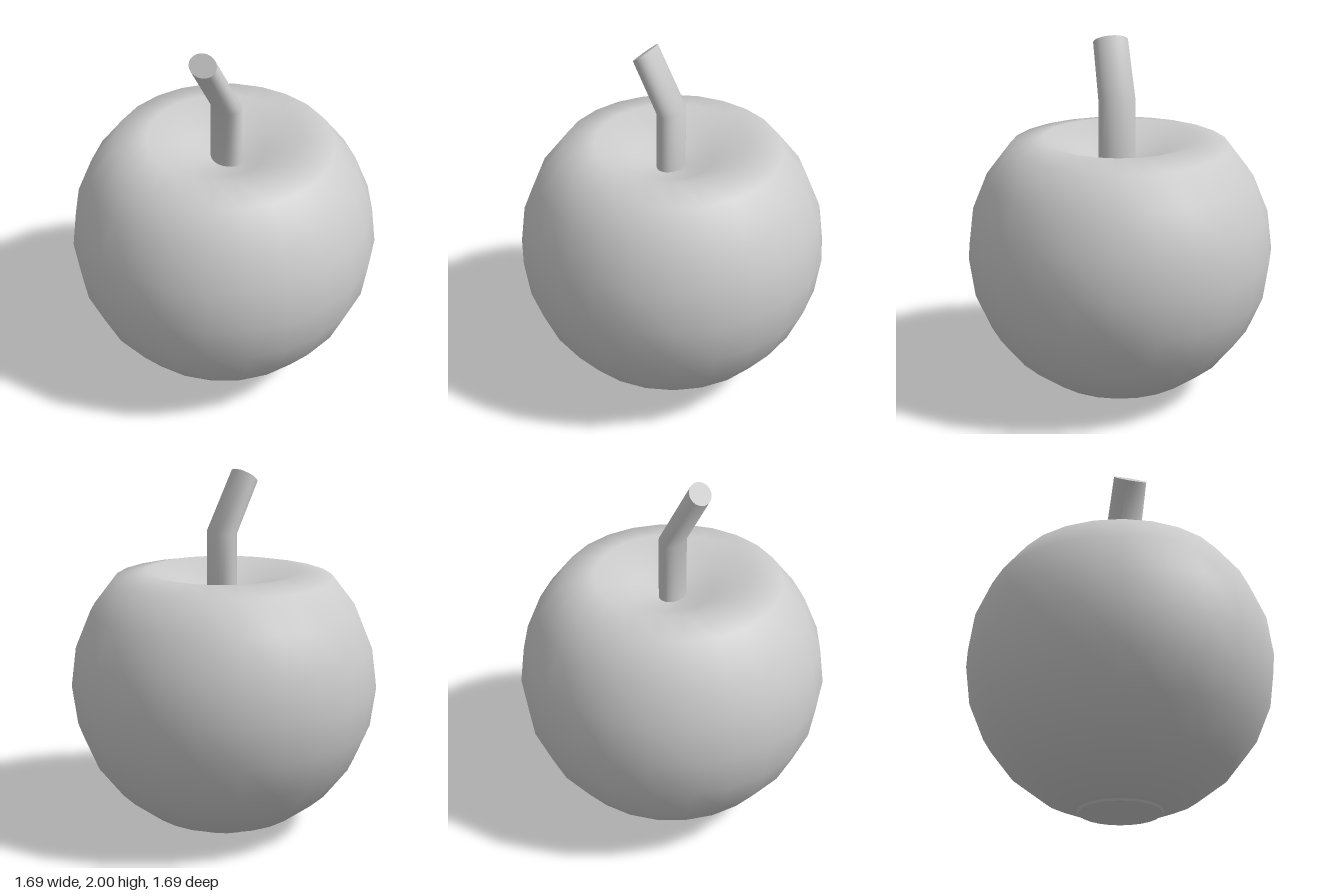
import * as THREE from 'three';
import { toCreasedNormals } from 'three/addons/utils/BufferGeometryUtils.js';

export function createModel() {
  const group = new THREE.Group();
  group.name = 'apple';
  const material = new THREE.MeshStandardMaterial({ color: 0xcccccc });
  const add = (name, geometry) => {
    const mesh = new THREE.Mesh(geometry, material);
    mesh.name = name;
    group.add(mesh);
  };

  // Fruit body: a round profile with a dimple at the top and a flattened base
  const R = 0.847, midY = 0.825;
  const profile = [new THREE.Vector2(0, 0.015)];
  for (let i = 1; i <= 9; i++) {
    const a = (i * Math.PI) / 12;
    profile.push(new THREE.Vector2(R * Math.sin(a), midY - R * Math.cos(a)));
  }
  profile.push(
    new THREE.Vector2(0.42, 1.46),
    new THREE.Vector2(0.22, 1.36),
    new THREE.Vector2(0, 1.31)
  );
  add('fruit', new THREE.LatheGeometry(profile, 24));

  // Flat blossom end under the fruit
  const base = new THREE.CylinderGeometry(0.245, 0.22, 0.03, 24);
  base.translate(0, 0.015, 0);
  add('blossomEnd', base);

  // Stem: an oval tube of three rings, bent toward -x
  const rings = [
    { c: [0.003, 1.3], u: [0.069, 0], rz: 0.103 },
    { c: [0.003, 1.665], u: [0.069, 0.004], rz: 0.102 },
    { c: [-0.15, 1.96], u: [0.05, 0.04], rz: 0.097 },
  ];
  const stem = new THREE.CylinderGeometry(1, 1, 2, 24, 2);
  const p = stem.attributes.position;
  for (let i = 0; i < p.count; i++) {
    const { c, u, rz } = rings[Math.round(p.getY(i)) + 1];
    const x = p.getX(i);
    p.setXYZ(i, c[0] + u[0] * x, c[1] + u[1] * x, 0.016 + rz * p.getZ(i));
  }
  add('stem', toCreasedNormals(stem, 0.7));

  return group;
}
